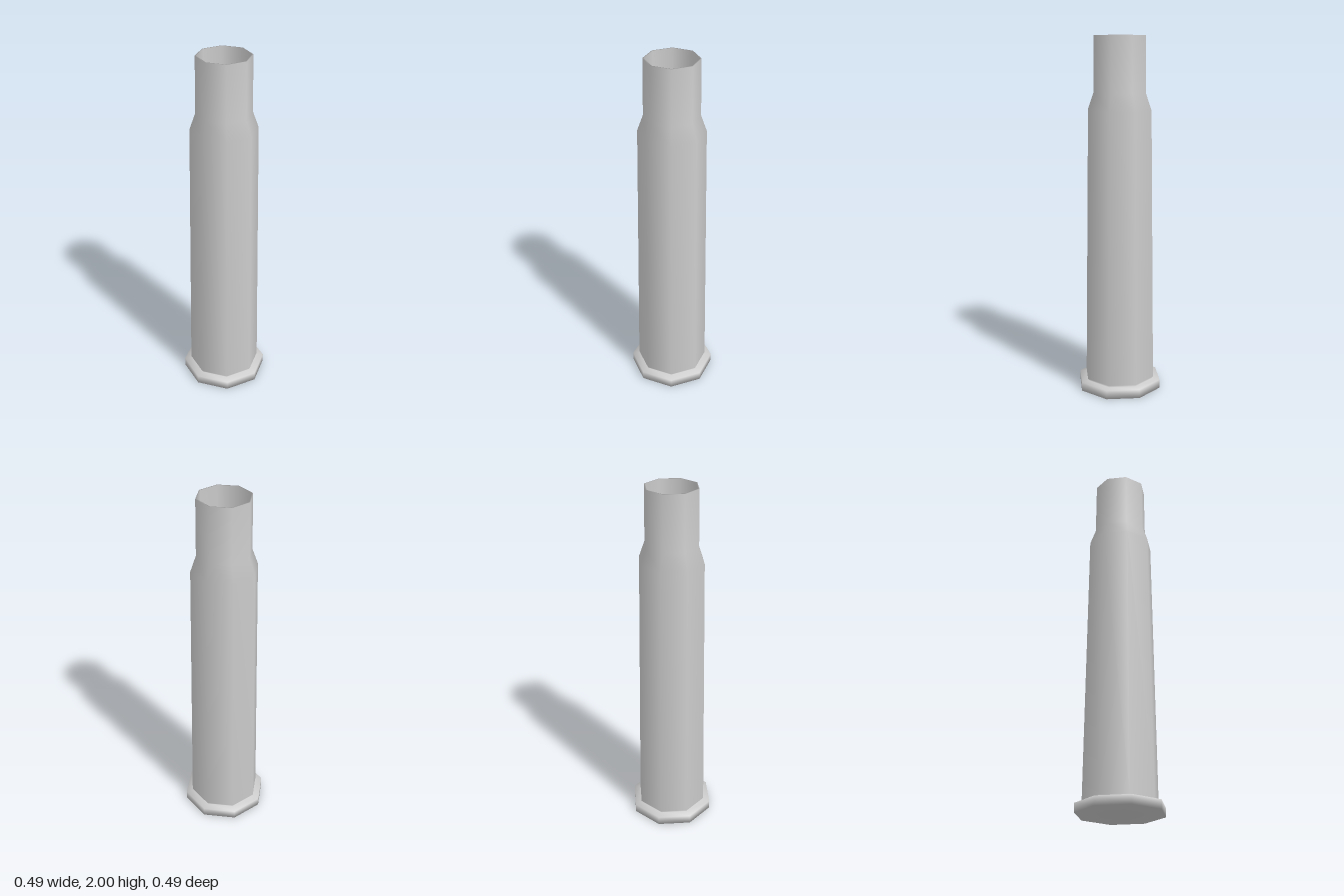
import * as THREE from 'three';

const SIDES = 8;

// Eight-sided smooth-shaded turning from [radius, height] pairs
function turned(name, profile) {
  const points = profile.map(([r, y]) => new THREE.Vector2(r, y));
  const material = new THREE.MeshStandardMaterial({ color: 0xcccccc, side: THREE.DoubleSide });
  const mesh = new THREE.Mesh(new THREE.LatheGeometry(points, SIDES), material);
  mesh.name = name;
  return mesh;
}

export function createModel() {
  const group = new THREE.Group();
  group.name = 'cartridgeCase';

  group.add(turned('caseShell', [
    // closed base and projecting rim
    [0, 0], [0.243, 0], [0.243, 0.05],
    // small undercut where the body meets the rim
    [0.193, 0.05], [0.204, 0.065],
    // tapered body, shoulder and neck
    [0.183, 1.6], [0.151, 1.69], [0.148, 2],
    // thin lip and hollow bore down to its floor
    [0.14, 2], [0.14, 0.1], [0, 0.1],
  ]));

  return group;
}
